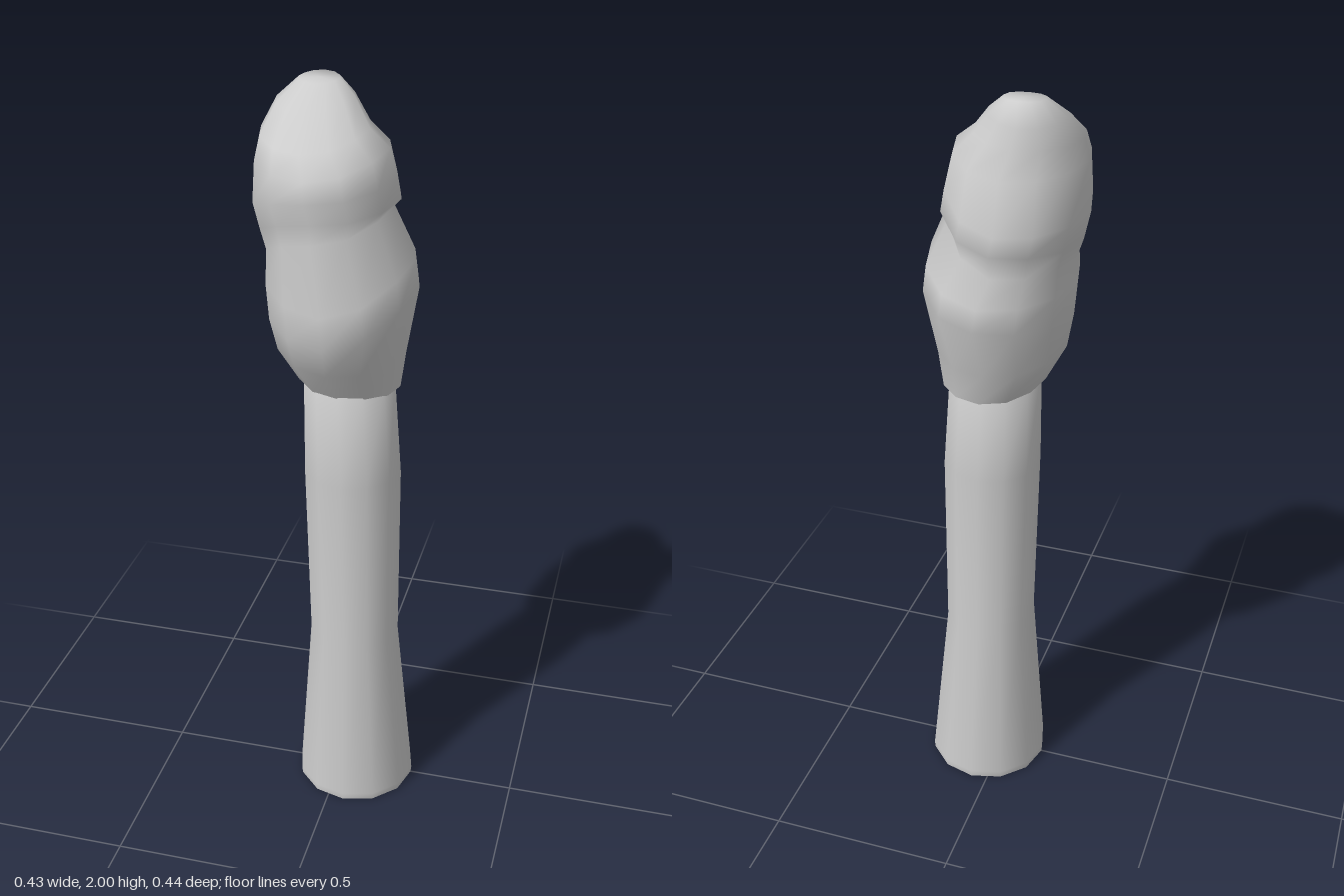
import * as THREE from 'three';

const SIDES = 12;
const material = new THREE.MeshStandardMaterial({ color: 0xcccccc });

// Lofts tilted oval rings, each given by its four extremes:
// [+x, y there, +z, y there, -x, y there, -z, y there].
// The sides are smooth; both ends are closed with sharp-edged caps.
function loft(name, rings) {
  const pos = [], index = [];
  const ringPoint = ([xp, yxp, zp, yzp, xm, yxm, zm, yzm], i) => {
    const t = (i / SIDES) * Math.PI * 2, c = Math.cos(t), s = Math.sin(t);
    return [
      (xp + xm) / 2 + c * (xp - xm) / 2,
      c * c * (c > 0 ? yxp : yxm) + s * s * (s > 0 ? yzp : yzm),
      (zp + zm) / 2 + s * (zp - zm) / 2,
    ];
  };
  const addRing = (ring) => {
    for (let i = 0; i < SIDES; i++) pos.push(...ringPoint(ring, i));
  };

  rings.forEach(addRing);
  for (let k = 0; k < rings.length - 1; k++) {
    for (let i = 0; i < SIDES; i++) {
      const a = k * SIDES + i, b = k * SIDES + (i + 1) % SIDES;
      index.push(a, a + SIDES, b, b, a + SIDES, b + SIDES);
    }
  }

  // Bottom cap has its own vertices; the top closes smoothly to a centre point
  const centre = ([xp, yxp, zp, yzp, xm, yxm, zm, yzm]) =>
    [(xp + xm) / 2, (yxp + yzp + yxm + yzm) / 4, (zp + zm) / 2];
  const base = rings.length * SIDES, top = base - SIDES;
  addRing(rings[0]);
  pos.push(...centre(rings[0]), ...centre(rings[rings.length - 1]));
  for (let i = 0; i < SIDES; i++) {
    const j = (i + 1) % SIDES;
    index.push(base + SIDES, base + i, base + j);
    index.push(base + SIDES + 1, top + j, top + i);
  }

  const geometry = new THREE.BufferGeometry();
  geometry.setAttribute('position', new THREE.Float32BufferAttribute(pos, 3));
  geometry.setIndex(index);
  geometry.computeVertexNormals();
  const mesh = new THREE.Mesh(geometry, material);
  mesh.name = name;
  return mesh;
}

// Level round ring for the handle
const round = (y, x, z, r) => [x + r, y, z + r, y, x - r, y, z - r, y];

export function createModel() {
  const group = new THREE.Group();
  group.name = 'lumpyClub';

  // Tapered handle with a flared foot
  group.add(loft('handle', [
    round(0, 0.045, 0, 0.163),
    round(0.02, 0.045, 0, 0.165),
    round(0.5, 0.037, 0.002, 0.123),
    round(1.0, 0.03, 0.002, 0.129),
    round(1.27, 0.02, 0.002, 0.119),
  ]));

  // Lumpy head: a bulge, a slanted crease, then a hood with an off-centre knob
  group.add(loft('head', [
    [0.15, 1.24, 0.12, 1.25, -0.115, 1.265, -0.145, 1.24],
    [0.165, 1.34, 0.17, 1.33, -0.165, 1.36, -0.17, 1.33],
    [0.195, 1.52, 0.22, 1.42, -0.18, 1.45, -0.215, 1.47],
    [0.185, 1.59, 0.215, 1.5, -0.188, 1.54, -0.215, 1.53],
    [0.13, 1.72, 0.193, 1.67, -0.183, 1.6, -0.185, 1.6],
    [0.145, 1.735, 0.197, 1.72, -0.2, 1.65, -0.2, 1.66],
    [0.135, 1.79, 0.205, 1.77, -0.215, 1.72, -0.205, 1.71],
    [0.12, 1.86, 0.2, 1.82, -0.205, 1.84, -0.17, 1.83],
    [0.07, 1.9, 0.155, 1.87, -0.195, 1.89, -0.14, 1.9],
    [0.02, 1.96, 0.06, 1.935, -0.17, 1.95, -0.145, 1.95],
    [-0.02, 1.995, -0.01, 1.99, -0.12, 1.995, -0.11, 2.0],
  ]));

  return group;
}
